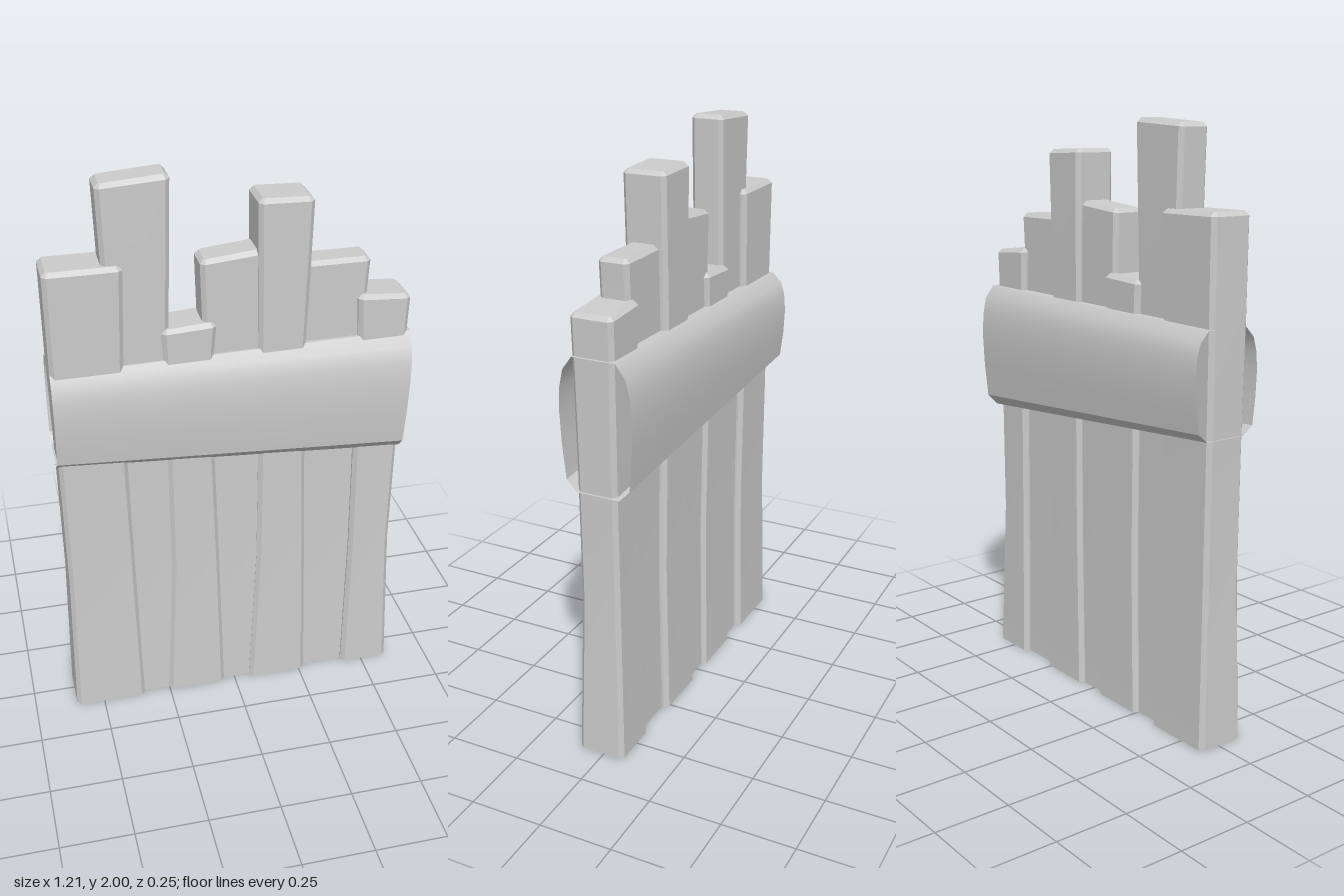
import * as THREE from 'three';
import { toCreasedNormals } from 'three/addons/utils/BufferGeometryUtils.js';

const material = new THREE.MeshStandardMaterial({ color: 0xcccccc, side: THREE.DoubleSide });

// Skin a list of closed rings; optionally close the last one
function loft(rings, cap, crease) {
  const n = rings[0].length, index = [];
  for (let r = 0; r < rings.length - 1; r++) {
    for (let i = 0; i < n; i++) {
      const a = r * n + i, b = r * n + (i + 1) % n;
      index.push(a, b, b + n, a, b + n, a + n);
    }
  }
  const last = (rings.length - 1) * n;
  if (cap) for (let i = 1; i < n - 1; i++) index.push(last, last + i, last + i + 1);
  const geometry = new THREE.BufferGeometry();
  geometry.setAttribute('position', new THREE.Float32BufferAttribute(rings.flat(2), 3));
  geometry.setIndex(index);
  return toCreasedNormals(geometry, crease);
}

// Rectangle with cut corners, tilted from yL on the left edge to yR on the right
function section(x0, x1, z0, z1, yL, yR, cut) {
  const outline = [
    [x0 + cut, z1], [x1 - cut, z1], [x1, z1 - cut], [x1, z0 + cut],
    [x1 - cut, z0], [x0 + cut, z0], [x0, z0 + cut], [x0, z1 - cut],
  ];
  return outline.map(([x, z]) => [x, yL + (yR - yL) * (x - x0) / (x1 - x0), z]);
}

// Bevelled, slightly warped plank, open at the bottom
function plank({ edges, z, top }) {
  const c = 0.014;
  const flare = [0.013, 0, 0, 0.003, 0.004];
  const heights = [0, 0.55, 1.0, 1.4];
  const rings = edges.map(([x0, x1], i) => {
    const yL = i < 4 ? heights[i] : top[0] - c;
    const yR = i < 4 ? heights[i] : top[1] - c;
    return section(x0, x1, z[0] - flare[i], z[1] + flare[i], yL, yR, c);
  });
  const [x0, x1] = edges[4];
  rings.push(section(x0 + c, x1 - c, z[0] + c - 0.004, z[1] - c + 0.004, top[0], top[1], c * 0.4));
  return loft(rings, true, 0.15);
}

// Left and right edges of each plank at five heights, depth range, top corner heights
const planks = [
  { edges: [[-0.6, -0.345], [-0.592, -0.357], [-0.597, -0.367], [-0.603, -0.365], [-0.605, -0.355]], z: [-0.061, 0.085], top: [1.725, 1.725] },
  { edges: [[-0.37, -0.23], [-0.38, -0.21], [-0.39, -0.21], [-0.41, -0.215], [-0.427, -0.198]], z: [-0.04, 0.067], top: [1.985, 2.0] },
  { edges: [[-0.252, -0.04], [-0.226, -0.053], [-0.229, -0.068], [-0.236, -0.067], [-0.24, -0.06]], z: [-0.058, 0.081], top: [1.49, 1.5] },
  { edges: [[-0.07, 0.09], [-0.08, 0.1], [-0.09, 0.1], [-0.1, 0.095], [-0.108, 0.09]], z: [-0.043, 0.065], top: [1.71, 1.728] },
  { edges: [[0.058, 0.273], [0.085, 0.263], [0.086, 0.25], [0.08, 0.242], [0.075, 0.256]], z: [-0.06, 0.081], top: [1.9, 1.895] },
  { edges: [[0.25, 0.44], [0.24, 0.45], [0.23, 0.45], [0.23, 0.443], [0.24, 0.456]], z: [-0.037, 0.06], top: [1.668, 1.668] },
  { edges: [[0.422, 0.6], [0.432, 0.582], [0.427, 0.586], [0.422, 0.592], [0.415, 0.595]], z: [-0.058, 0.081], top: [1.542, 1.53] },
];

// Bulging band around the planks: half profile from top to bottom, [depth, share of height]
function band() {
  const half = [[0.075, 1], [0.108, 0.9], [0.121, 0.77], [0.126, 0.6], [0.122, 0.35], [0.111, 0.085], [0.075, 0]];
  const profile = [...half, ...half.map(([z, t]) => [-z, t]).reverse()];
  const ends = [
    { xTop: -0.603, xLow: -0.604, low: 1.03, high: 1.375 },
    { xTop: 0.602, xLow: 0.592, low: 0.947, high: 1.395 },
  ];
  const rings = ends.map(e => profile.map(([z, t]) => [
    e.xLow + (e.xTop - e.xLow) * t, e.low + (e.high - e.low) * t, z,
  ]));
  return loft(rings, false, 0.6);
}

export function createModel() {
  const model = new THREE.Group();
  model.name = 'plankPanel';
  planks.forEach((spec, i) => {
    const mesh = new THREE.Mesh(plank(spec), material);
    mesh.name = `plank${i + 1}`;
    model.add(mesh);
  });
  const strap = new THREE.Mesh(band(), material);
  strap.name = 'crossBand';
  model.add(strap);
  return model;
}
